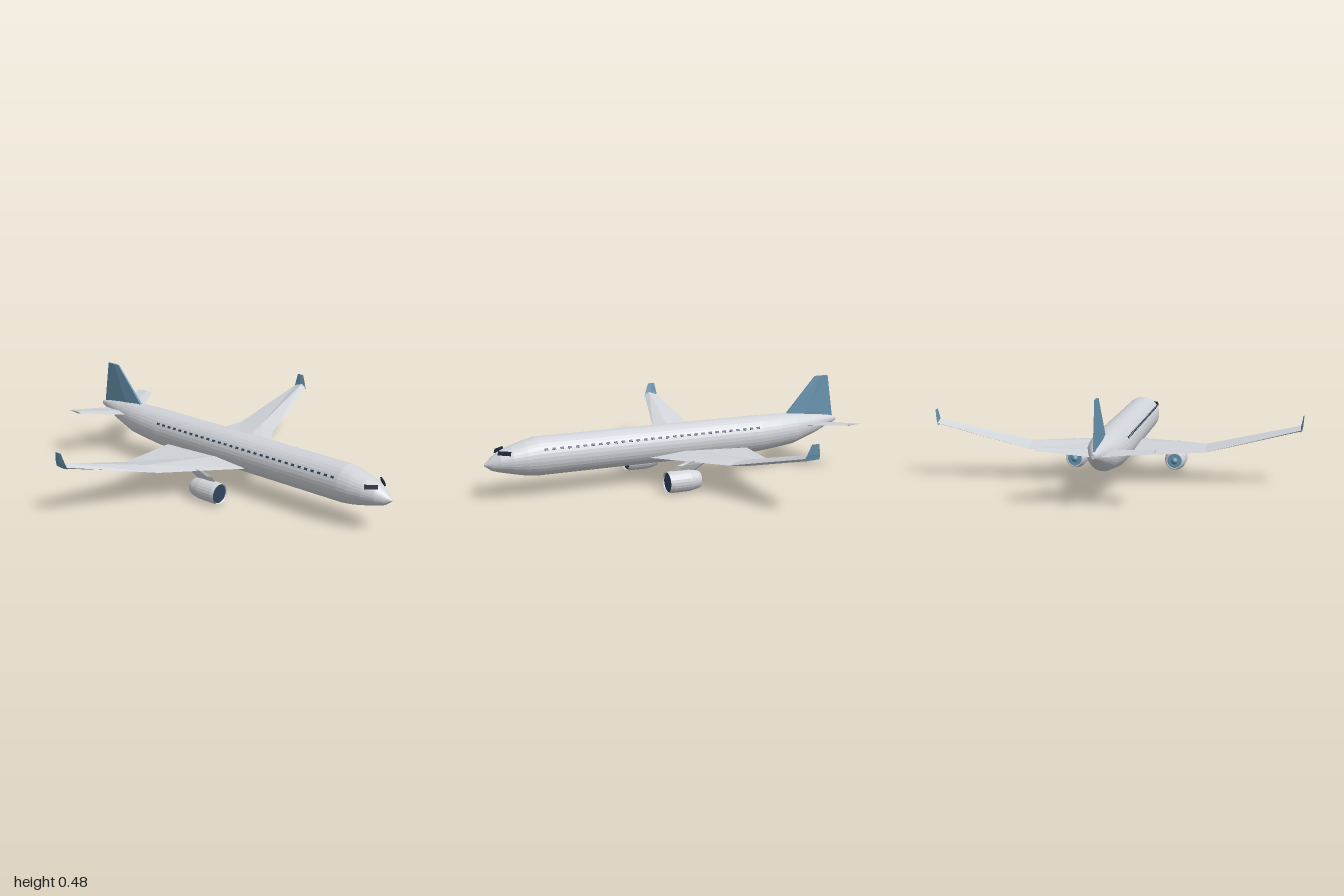
import * as THREE from 'three';

const mat = (name, color) => {
  const m = new THREE.MeshStandardMaterial({ color });
  m.name = name;
  return m;
};

// Skin a closed, flat-shaded solid over equal-length cross-section loops
function loft(sections) {
  const pos = [], n = sections[0].length;
  const tri = (a, b, c) => pos.push(...a, ...b, ...c);
  for (let i = 0; i + 1 < sections.length; i++) {
    const A = sections[i], B = sections[i + 1];
    for (let j = 0; j < n; j++) {
      const k = (j + 1) % n;
      tri(A[j], A[k], B[k]);
      tri(A[j], B[k], B[j]);
    }
  }
  const F = sections[0], L = sections[sections.length - 1];
  for (let j = 1; j + 1 < n; j++) {
    tri(F[0], F[j + 1], F[j]);
    tri(L[0], L[j], L[j + 1]);
  }
  // Turn the faces outward when the enclosed volume is negative
  let volume = 0;
  const a = new THREE.Vector3(), b = new THREE.Vector3(), c = new THREE.Vector3();
  for (let i = 0; i < pos.length; i += 9) {
    a.fromArray(pos, i); b.fromArray(pos, i + 3); c.fromArray(pos, i + 6);
    volume += a.dot(b.cross(c));
  }
  if (volume < 0) {
    for (let i = 0; i < pos.length; i += 9) {
      for (let k = 0; k < 3; k++) {
        [pos[i + 3 + k], pos[i + 6 + k]] = [pos[i + 6 + k], pos[i + 3 + k]];
      }
    }
  }
  const g = new THREE.BufferGeometry();
  g.setAttribute('position', new THREE.Float32BufferAttribute(pos, 3));
  g.computeVertexNormals();
  return g;
}

// Elliptical ring facing z
const ring = (z, cx, cy, rx, ry, sides) => Array.from({ length: sides }, (_, i) => {
  const t = (i + 0.5) / sides * Math.PI * 2;
  return [cx + Math.cos(t) * rx, cy + Math.sin(t) * ry, z];
});

// Diamond aerofoil at span x: leading edge, upper ridge, trailing edge, lower ridge
const foil = (s, x, lead, trail, y, up, down) => {
  const ridge = lead + (trail - lead) * 0.36;
  return [[s * x, y, lead], [s * x, y + up, ridge], [s * x, y, trail], [s * x, y - down, ridge]];
};

export function createModel() {
  const grey = mat('bodyGrey', 0xd0d3d8);
  const blue = mat('accentBlue', 0x6793ae);
  const navy = mat('windowNavy', 0x2f445c);
  const dark = mat('cockpitDark', 0x1f2a38);

  const model = new THREE.Group();
  model.name = 'airliner';
  const add = (name, geometry, material, parent = model) => {
    const m = new THREE.Mesh(geometry, material);
    m.name = name;
    parent.add(m);
    return m;
  };

  // Fuselage: z, centre height, half width, half height
  add('fuselage', loft([
    [1, 0.178, 0.004, 0.004], [0.965, 0.18, 0.032, 0.032], [0.93, 0.187, 0.053, 0.05],
    [0.87, 0.192, 0.074, 0.069], [0.8, 0.195, 0.088, 0.087], [0.74, 0.198, 0.095, 0.097],
    [-0.5, 0.198, 0.095, 0.097], [-0.62, 0.203, 0.088, 0.09], [-0.72, 0.207, 0.076, 0.083],
    [-0.85, 0.222, 0.05, 0.055], [-0.95, 0.236, 0.024, 0.027], [-1, 0.239, 0.008, 0.012],
  ].map(([z, y, rx, ry]) => ring(z, 0, y, rx, ry, 32))), grey);

  // Tail fin: height, leading z, trailing z, half thickness
  add('tailFin', loft([
    [0.245, -0.65, -0.98, 0.011], [0.29, -0.69, -0.973, 0.011], [0.482, -0.865, -0.945, 0.006],
  ].map(([y, f, r, t]) => [[-t * 0.6, y, f], [t * 0.6, y, f], [t, y, f + (r - f) * 0.4],
    [t * 0.4, y, r], [-t * 0.4, y, r], [-t, y, f + (r - f) * 0.4]])), blue);

  const cabinPane = new THREE.BoxGeometry(0.006, 0.011, 0.018);

  for (const s of [1, -1]) {
    const side = new THREE.Group();
    side.name = s > 0 ? 'leftSide' : 'rightSide';
    model.add(side);

    // Cranked main wing and upturned winglet
    add('wing', loft([
      foil(s, 0.04, 0.182, -0.41, 0.145, 0.02, 0.012),
      foil(s, 0.44, -0.105, -0.342, 0.158, 0.021, 0.012),
      foil(s, 0.9, -0.255, -0.332, 0.275, 0.017, 0.012),
    ]), grey, side);
    add('winglet', loft([
      [0.898, 0.266, -0.252, -0.334, 0.007], [0.905, 0.292, -0.262, -0.332, 0.005],
      [0.912, 0.342, -0.283, -0.322, 0.002],
    ].map(([x, y, f, r, t]) => [[s * x, y, f], [s * x + t, y, (f + r) / 2],
      [s * x, y, r], [s * x - t, y, (f + r) / 2]])), blue, side);

    // Tailplane
    add('tailplane', loft([
      foil(s, 0.01, -0.715, -0.935, 0.225, 0.01, 0.008),
      foil(s, 0.265, -0.885, -0.988, 0.256, 0.006, 0.005),
    ]), grey, side);

    // Engine with recessed intake and exhaust
    const engine = new THREE.Group();
    engine.name = 'engine';
    side.add(engine);
    const ex = s * 0.26, ey = 0.058;
    add('cowling', loft([
      [0.125, 0.047], [0.142, 0.049], [0.146, 0.052], [0.125, 0.055], [0.03, 0.055],
      [-0.015, 0.047], [-0.03, 0.041], [-0.03, 0.037], [-0.015, 0.035],
    ].map(([z, r]) => ring(z, ex, ey, r, r, 24))), grey, engine);
    const intake = add('intakeFan', new THREE.CircleGeometry(0.0485, 24), navy, engine);
    intake.position.set(ex, ey, 0.138);
    const exhaust = add('exhaust', new THREE.CircleGeometry(0.0365, 24), blue, engine);
    exhaust.position.set(ex, ey, -0.026);
    exhaust.rotation.y = Math.PI;
    add('exhaustCone', loft([[-0.02, 0.02], [-0.035, 0.016], [-0.045, 0.004]]
      .map(([z, r]) => ring(z, ex, ey, r, r, 12))), blue, engine);

    // Pylon leaning out from cowling to wing
    add('pylon', loft([
      [0.25, 0.1, 0.115, -0.01, 0.008], [0.266, 0.138, 0.095, -0.06, 0.009],
      [0.274, 0.158, 0.05, -0.09, 0.006],
    ].map(([x, y, f, r, t]) => [[s * x, y, f], [s * x + t, y, f - 0.03],
      [s * x + t, y, r + 0.02], [s * x, y, r], [s * x - t, y, r + 0.02],
      [s * x - t, y, f - 0.03]])), grey, engine);

    // Cabin windows
    const windows = new THREE.Group();
    windows.name = 'cabinWindows';
    side.add(windows);
    for (let i = 0; i < 30; i++) {
      const pane = add('cabinWindow', cabinPane, navy, windows);
      pane.position.set(s * 0.0825, 0.245, 0.71 - i * 0.0407);
      pane.rotation.z = s * 0.51;
    }

    // Cockpit window, a thin plate set across the nose
    const pane = add('cockpitWindow', new THREE.BoxGeometry(0.066, 0.021, 0.008), dark, side);
    pane.position.set(s * 0.048, 0.237, 0.911);
    pane.rotation.set(-0.25, s * 0.87, 0, 'YXZ');
  }
  return model;
}
